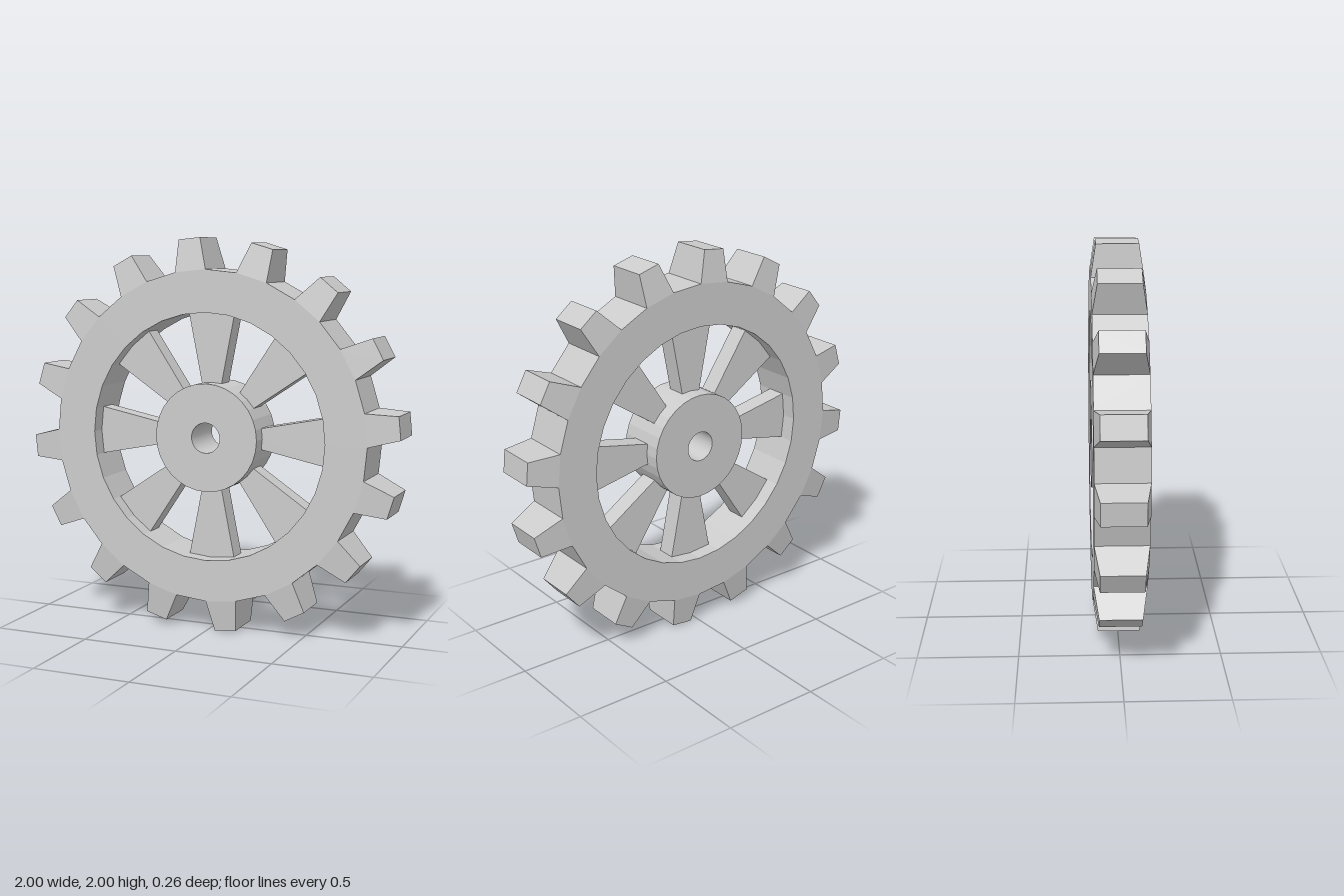
import * as THREE from 'three';

const SEGMENTS = 32;
const STEP = (Math.PI * 2) / SEGMENTS;
const TEETH = 16;
const SPOKES = 8;
const HALF_DEPTH = 0.13;
const ROOT_R = 0.843, RIM_INNER_R = 0.63, HUB_R = 0.275, BORE_R = 0.077;

const material = new THREE.MeshStandardMaterial({ color: 0xcccccc, flatShading: true });
const smoothMaterial = new THREE.MeshStandardMaterial({ color: 0xcccccc });

const polar = (r, a) => new THREE.Vector2(r * Math.cos(a), r * Math.sin(a));
const polygon = (r) => Array.from({ length: SEGMENTS }, (_, i) => polar(r, i * STEP));

// Extrude a flat shape so that it is centred on z = 0
function extrude(shape, halfDepth) {
  const geometry = new THREE.ExtrudeGeometry(shape, { depth: halfDepth * 2, bevelEnabled: false });
  return geometry.translate(0, 0, -halfDepth);
}

function ring(outer, inner) {
  const shape = new THREE.Shape(polygon(outer));
  shape.holes.push(new THREE.Path(polygon(inner)));
  return extrude(shape, HALF_DEPTH);
}

// Wedge between hub and rim, its sides running radially
function spokeGeometry() {
  const angles = [-STEP, 0, STEP];
  const outer = angles.map((a) => polar(RIM_INNER_R, a));
  const inner = angles.map((a) => polar(HUB_R, a)).reverse();
  return extrude(new THREE.Shape([...outer, ...inner]), 0.05);
}

// Box on one rim facet, narrowed towards the tip in width and depth
function toothGeometry() {
  const base = ROOT_R * Math.cos(STEP / 2);
  const tip = 0.999;
  const baseWidth = 2 * ROOT_R * Math.sin(STEP / 2);
  const geometry = new THREE.BoxGeometry(baseWidth, tip - base, HALF_DEPTH * 2);
  geometry.translate(0, (tip + base) / 2, 0);
  const p = geometry.attributes.position;
  for (let i = 0; i < p.count; i++) {
    if (p.getY(i) > (tip + base) / 2) {
      p.setX(i, Math.sign(p.getX(i)) * 0.058);
      p.setZ(i, Math.sign(p.getZ(i)) * 0.105);
    }
  }
  geometry.computeVertexNormals();
  return geometry;
}

function add(parent, name, geometry, mat = material) {
  const mesh = new THREE.Mesh(geometry, mat);
  mesh.name = name;
  parent.add(mesh);
  return mesh;
}

// Copies of one part spaced evenly around the axle
function addAround(parent, name, geometry, count, offset) {
  const group = new THREE.Group();
  group.name = name + 's';
  for (let i = 0; i < count; i++) {
    add(group, name, geometry).rotation.z = offset + (i * Math.PI * 2) / count;
  }
  parent.add(group);
}

export function createModel() {
  const gear = new THREE.Group();
  gear.name = 'gearWheel';
  gear.position.y = 1;

  add(gear, 'rim', ring(ROOT_R, RIM_INNER_R));

  // Hub with a smooth round bore
  const hub = new THREE.Group();
  hub.name = 'hub';
  const profile = [
    [BORE_R, HALF_DEPTH], [BORE_R, -HALF_DEPTH],
  ].map(([r, y]) => new THREE.Vector2(r, y));
  add(hub, 'bore', new THREE.LatheGeometry(profile, SEGMENTS).rotateX(Math.PI / 2), smoothMaterial);
  const faces = [
    [BORE_R, -HALF_DEPTH], [HUB_R, -HALF_DEPTH], [HUB_R, HALF_DEPTH], [BORE_R, HALF_DEPTH],
  ].map(([r, y]) => new THREE.Vector2(r, y));
  add(hub, 'hubBody', new THREE.LatheGeometry(faces, SEGMENTS).rotateX(Math.PI / 2));
  gear.add(hub);

  addAround(gear, 'spoke', spokeGeometry(), SPOKES, 0);
  addAround(gear, 'tooth', toothGeometry(), TEETH, STEP / 2);

  const model = new THREE.Group();
  model.name = 'model';
  model.add(gear);
  return model;
}
